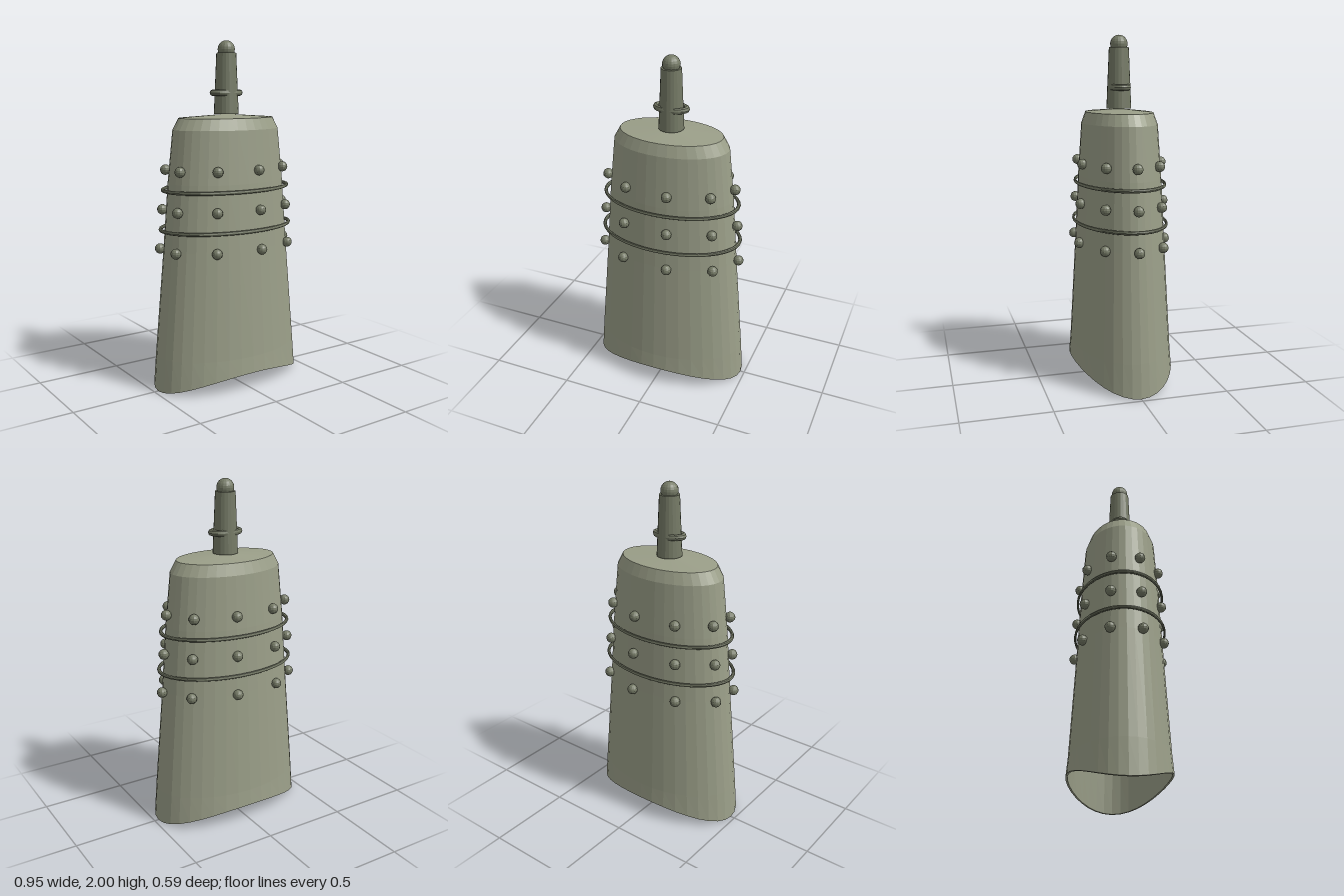
import * as THREE from 'three';

const DEPTH = 0.617; // the plan is an ellipse: depth / width

export function createModel() {
  const model = new THREE.Group();
  const shellMat = new THREE.MeshStandardMaterial({ color: 0x9a9e88 });
  shellMat.name = 'pale olive shell';
  const trimMat = new THREE.MeshStandardMaterial({ color: 0x757a66 });
  trimMat.name = 'dark olive trim';

  // Facet a geometry and add it under a part name
  function add(name, geometry, material, x = 0, y = 0, z = 0) {
    const g = geometry.index ? geometry.toNonIndexed() : geometry;
    g.computeVertexNormals();
    const mesh = new THREE.Mesh(g, material);
    mesh.name = name;
    mesh.position.set(x, y, z);
    model.add(mesh);
    return mesh;
  }

  // Hollow shell: inner wall up, then hem, outer wall and shallow crown
  const wall = 0.018;
  const outer = [[0.475, 0], [0.46, 0.2], [0.404, 0.82], [0.373, 1.2], [0.34, 1.5], [0.303, 1.565]];
  const inner = outer.map(([r, y], i) => [r - wall, i === 5 ? y - wall : y]).reverse();
  const profile = [[0, 1.565], ...inner, ...outer, [0, 1.585]];
  const shell = new THREE.LatheGeometry(profile.map(([r, y]) => new THREE.Vector2(r, y)), 36);
  shell.scale(1, 1, DEPTH);
  // The hem arches up at front and back and dips at the sides
  const p = shell.attributes.position;
  for (let i = 0; i < p.count; i++) {
    if (p.getY(i) < 0.01) {
      const a = Math.atan2(p.getZ(i) / DEPTH, p.getX(i));
      p.setY(i, 0.105 * Math.sin(a) ** 2);
    }
  }
  add('shell', shell, shellMat);

  // Elliptical hoops standing just off the shell, and the small collar
  function hoop(name, radius, tube, y) {
    const g = new THREE.TorusGeometry(radius, tube, 8, 40);
    g.rotateX(Math.PI / 2);
    g.scale(1, 1, DEPTH);
    add(name, g, trimMat, 0, y, 0);
  }
  hoop('upperHoop', 0.405, 0.011, 1.16);
  hoop('lowerHoop', 0.422, 0.011, 0.933);
  hoop('spikeCollar', 0.088, 0.018, 1.705);

  // Three rows of nine studs
  for (const [y, r] of [[1.275, 0.386], [1.048, 0.408], [0.82, 0.425]]) {
    for (let i = 0; i < 9; i++) {
      const a = (i / 9) * Math.PI * 2;
      add('stud', new THREE.SphereGeometry(0.03, 12, 8), trimMat,
        r * Math.cos(a), y, r * DEPTH * Math.sin(a));
    }
  }

  // Tapered spike with a ball tip
  add('spike', new THREE.CylinderGeometry(0.057, 0.072, 0.345, 20), trimMat, 0, 1.7575, 0);
  add('spikeTip', new THREE.SphereGeometry(0.05, 16, 12), trimMat, 0, 1.95, 0);

  return model;
}
